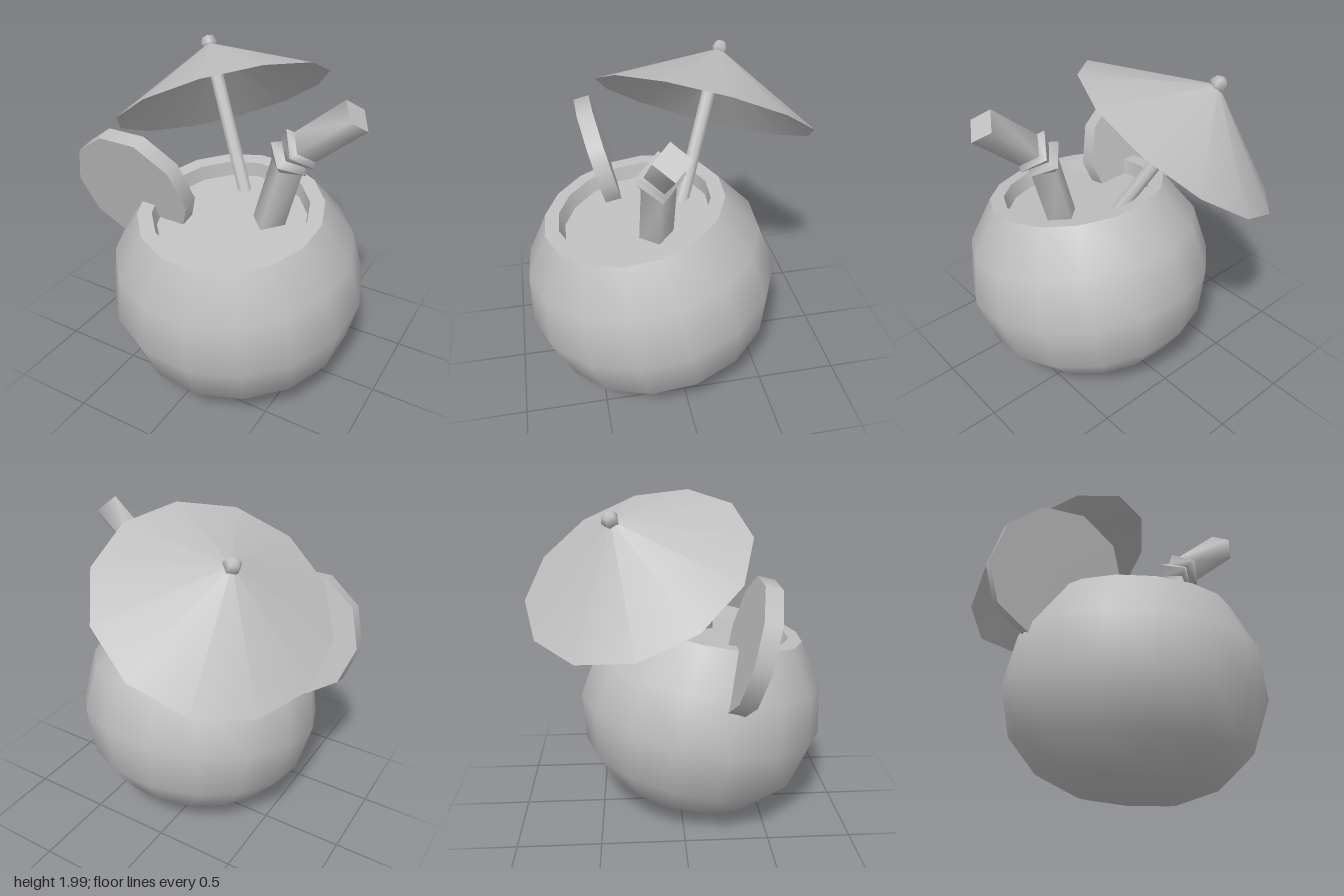
import * as THREE from 'three';

const grey = new THREE.MeshStandardMaterial({ color: 0xc0c0c0 });
const V = (x, y, z) => new THREE.Vector3(x, y, z);

function part(parent, name, geometry) {
  const mesh = new THREE.Mesh(geometry, grey);
  mesh.name = name;
  parent.add(mesh);
  return mesh;
}

const lathe = (profile, sides) =>
  new THREE.LatheGeometry(profile.map(([r, h]) => new THREE.Vector2(r, h)), sides);

// Group whose y runs along axis and whose z lies closest to forward
function tiltedGroup(name, origin, axis, forward) {
  const y = axis.clone().normalize();
  const x = y.clone().cross(forward).normalize();
  const z = x.clone().cross(y);
  const group = new THREE.Group();
  group.name = name;
  group.quaternion.setFromRotationMatrix(new THREE.Matrix4().makeBasis(x, y, z));
  group.position.copy(origin);
  return group;
}

// Square tube through sections [x, y, radius, lean from vertical], smooth around its corners
function squareTube(sections, z0) {
  const pos = [], idx = [];
  const corners = ([x, y, r, lean]) => {
    const dx = Math.cos(lean) * r, dy = -Math.sin(lean) * r;
    return [[x + dx, y + dy, z0], [x, y, z0 - r], [x - dx, y - dy, z0], [x, y, z0 + r]];
  };
  for (let s = 0; s < sections.length - 1; s++) {
    const b = pos.length / 3;
    pos.push(...corners(sections[s]).flat(), ...corners(sections[s + 1]).flat());
    for (let i = 0; i < 4; i++) {
      const j = (i + 1) % 4;
      idx.push(b + i, b + j, b + 4 + j, b + i, b + 4 + j, b + 4 + i);
    }
  }
  // End caps
  const b = pos.length / 3;
  pos.push(...corners(sections[0]).flat(), ...corners(sections[sections.length - 1]).flat());
  idx.push(b, b + 2, b + 1, b, b + 3, b + 2, b + 4, b + 5, b + 6, b + 4, b + 6, b + 7);
  const g = new THREE.BufferGeometry();
  g.setAttribute('position', new THREE.Float32BufferAttribute(pos, 3));
  g.setIndex(idx);
  g.computeVertexNormals();
  return g;
}

export function createModel() {
  const model = new THREE.Group();
  model.name = 'coconutDrink';

  // Coconut, origin at the centre of its cut rim
  const coconut = tiltedGroup('coconut', V(0.105, 1.185, 0.235), V(0.015, 0.985, 0.174), V(0, 0, 1));
  coconut.rotateY(THREE.MathUtils.degToRad(8));
  model.add(coconut);
  const shell = [[0, -1.174], [0.285, -1.15], [0.528, -1.047], [0.70, -0.855],
    [0.773, -0.558], [0.712, -0.254], [0.543, 0]];
  part(coconut, 'shell', lathe(shell, 16));
  part(coconut, 'rim', lathe([[0.543, 0], [0.457, 0]], 16));
  part(coconut, 'innerWall', lathe([[0.457, 0], [0.44, -0.09]], 16));
  part(coconut, 'drinkSurface', lathe([[0.44, -0.09], [0, -0.09]], 16));

  // Bent straw with two pleats
  part(model, 'straw', squareTube([
    [0.28, 1.02, 0.1, 0.25], [0.405, 1.485, 0.098, 0.3], [0.41, 1.525, 0.133, 0.6],
    [0.44, 1.56, 0.095, 0.7], [0.48, 1.60, 0.133, 0.84], [0.505, 1.617, 0.098, 0.84],
    [0.778, 1.85, 0.098, 0.84]], 0.135));

  // Fruit slice wedged on the rim
  const slice = part(model, 'fruitSlice',
    new THREE.CylinderGeometry(0.388, 0.388, 0.1, 10, 1, false, Math.PI / 2));
  slice.position.set(-0.475, 1.22, 0.362);
  slice.rotation.x = Math.PI / 2 + 0.25;

  // Cocktail umbrella, origin at the centre of the canopy edge
  const umbrella = tiltedGroup('umbrella', V(-0.242, 1.605, -0.265),
    V(-0.466, 0.818, -0.336), V(0.663, 0.576, 0.478));
  model.add(umbrella);
  part(umbrella, 'canopyTop', lathe([[0.68, 0], [0, 0.37]], 12));
  part(umbrella, 'canopyUnderside', lathe([[0.68, 0], [0, 0.3]], 12).scale(1, 1, 1)).geometry =
    lathe([[0, 0.3], [0.68, 0]], 12);
  const stick = part(umbrella, 'stick', new THREE.CylinderGeometry(0.043, 0.043, 0.97, 8));
  stick.position.y = -0.2;
  const tip = part(umbrella, 'tip', new THREE.SphereGeometry(0.052, 5, 4));
  tip.position.y = 0.37;

  return model;
}
